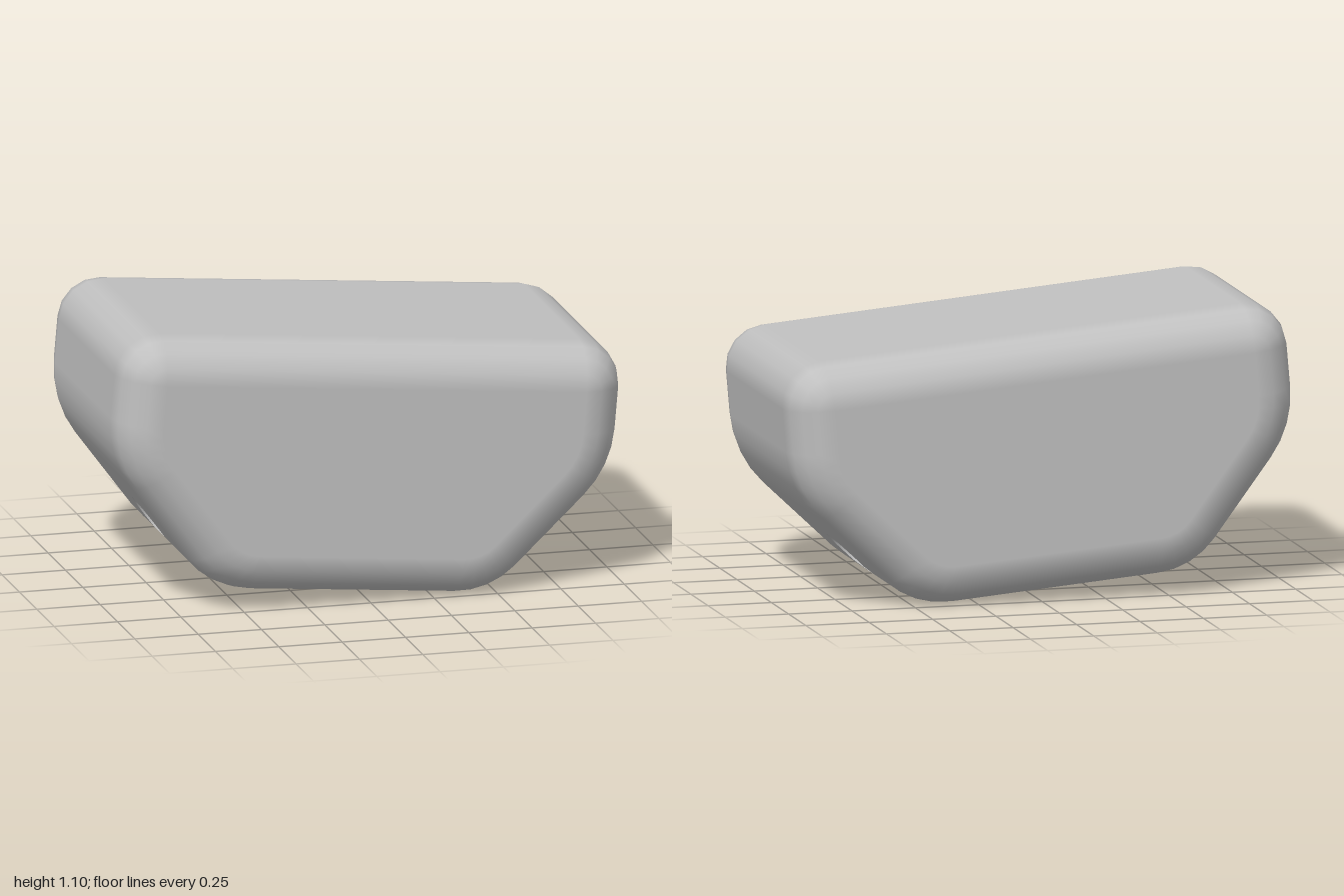
import * as THREE from 'three';

const ROUND = 0.165;          // edge rounding
const FLAT_Z = 0.4;           // half depth of the straight middle band
const HOLE = { y: 0.183, r: 0.0885 };
const STEPS = 4;              // segments per rounded corner
const FIRST = 2, LAST = 5;    // profile points that bound the hole panel

// Right half of the side profile: three rounded corners, bottom to top
function halfProfile() {
  const corners = [
    [0.405, 0.353, 0.32, -90, -41.5],
    [0.586, 0.694, 0.41, -41.5, 0],
    [0.831, 0.863, 0.165, 0, 90],
  ];
  const pts = [];
  for (const [cx, cy, r, a0, a1] of corners) {
    for (let i = 0; i <= STEPS; i++) {
      const a = THREE.MathUtils.degToRad(a0 + (a1 - a0) * i / STEPS);
      const nx = Math.cos(a), ny = Math.sin(a);
      pts.push({ x: cx + r * nx, y: cy + r * ny, nx, ny });
    }
  }
  return pts;
}

// Collects vertices with their own normals and faces
class Builder {
  pos = []; nor = []; idx = [];
  vert(p, n) {
    this.pos.push(...p);
    this.nor.push(...n);
    return this.pos.length / 3 - 1;
  }
  quad(a, b, c, d, flip = false) {
    this.idx.push(...(flip ? [a, c, b, a, d, c] : [a, b, c, a, c, d]));
  }
  geometry() {
    const g = new THREE.BufferGeometry();
    g.setAttribute('position', new THREE.Float32BufferAttribute(this.pos, 3));
    g.setAttribute('normal', new THREE.Float32BufferAttribute(this.nor, 3));
    g.setIndex(this.idx);
    g.normalizeNormals();
    return g;
  }
}

// Point and normal on the lower slope at height y
function slopeAt(half, y) {
  let i = FIRST;
  while (i < LAST - 1 && y > half[i + 1].y) i++;
  const a = half[i], b = half[i + 1];
  const t = (y - a.y) / (b.y - a.y);
  const mix = (k) => a[k] + (b[k] - a[k]) * t;
  return { x: mix('x'), nx: mix('nx'), ny: mix('ny') };
}

// Closed outline of the hole panel as [y, z], turning from +y towards +z
function panelOutline(half) {
  const y0 = half[FIRST].y, y1 = half[LAST].y, n = 24;
  const ys = [];
  for (let i = FIRST; i < LAST; i++) {
    for (let k = 0; k < 4; k++) ys.push(half[i].y + (half[i + 1].y - half[i].y) * k / 4);
  }
  const out = [];
  for (const y of ys) out.push([y, -FLAT_Z]);
  for (let i = 0; i < n; i++) out.push([y1, -FLAT_Z + 2 * FLAT_Z * i / n]);
  for (const y of ys) out.push([y0 + y1 - y, FLAT_Z]);
  for (let i = 0; i < n; i++) out.push([y0, FLAT_Z - 2 * FLAT_Z * i / n]);
  // use the true profile heights on the descending edge
  const start = ys.length + n;
  [y1, ...ys.slice(1).reverse()].forEach((y, i) => { out[start + i][0] = y; });
  return out;
}

function bodyGeometry(half) {
  const b = new Builder();
  const mirrored = half.map((p) => ({ ...p, x: -p.x, nx: -p.nx })).reverse();
  const ring = [...half, ...mirrored];
  const count = ring.length;

  // Rounded shell: front-to-back levels, each an inset copy of the profile
  const levels = [];
  for (let i = -STEPS; i <= -0; i++) levels.push([-1, -i / STEPS * Math.PI / 2]);
  for (let i = 0; i <= STEPS; i++) levels.push([1, i / STEPS * Math.PI / 2]);
  const rows = levels.map(([side, t]) => ring.map((p) => {
    const inset = ROUND * (1 - Math.cos(t));
    return b.vert(
      [p.x - p.nx * inset, p.y - p.ny * inset, side * (FLAT_Z + ROUND * Math.sin(t))],
      [p.nx * Math.cos(t), p.ny * Math.cos(t), side * Math.sin(t)]);
  }));
  for (let l = 0; l < rows.length - 1; l++) {
    for (let i = 0; i < count; i++) {
      const k = Math.min(i, count - 2 - i);
      if (l === STEPS && k >= FIRST && k < LAST) continue;
      const j = (i + 1) % count;
      b.quad(rows[l][i], rows[l][j], rows[l + 1][j], rows[l + 1][i]);
    }
  }

  // Flat front and back faces
  for (const side of [-1, 1]) {
    const row = rows[side < 0 ? 0 : rows.length - 1];
    const mid = b.vert([0, 0.55, side * (FLAT_Z + ROUND)], [0, 0, side]);
    for (let i = 0; i < count; i++) {
      const j = (i + 1) % count;
      b.idx.push(mid, ...(side > 0 ? [row[i], row[j]] : [row[j], row[i]]));
    }
  }

  // Sloped end panels, each spread from the round hole to its outline
  const outline = panelOutline(half), rings = 8;
  for (const side of [1, -1]) {
    const grid = [];
    for (let k = 0; k <= rings; k++) {
      grid.push(outline.map(([oy, oz]) => {
        const a = Math.atan2(oz, oy - HOLE.y), t = k / rings;
        const y = THREE.MathUtils.lerp(HOLE.y + HOLE.r * Math.cos(a), oy, t);
        const z = THREE.MathUtils.lerp(HOLE.r * Math.sin(a), oz, t);
        const s = slopeAt(half, y);
        return b.vert([side * s.x, y, z], [side * s.nx, s.ny, 0]);
      }));
    }
    for (let k = 0; k < rings; k++) {
      for (let i = 0; i < outline.length; i++) {
        const j = (i + 1) % outline.length;
        b.quad(grid[k][i], grid[k + 1][i], grid[k + 1][j], grid[k][j], side < 0);
      }
    }
  }
  return b.geometry();
}

// Inner wall of the bore, ending on the sloped panels
function boreGeometry(half) {
  const b = new Builder(), n = 48, rows = [];
  for (let i = 0; i <= n; i++) {
    const a = i / n * Math.PI * 2, c = Math.cos(a), s = Math.sin(a);
    const y = HOLE.y + HOLE.r * c, x = slopeAt(half, y).x;
    rows.push([-x, x].map((px) => b.vert([px, y, HOLE.r * s], [0, -c, -s])));
  }
  for (let i = 0; i < n; i++) {
    b.quad(rows[i][0], rows[i][1], rows[i + 1][1], rows[i + 1][0]);
  }
  return b.geometry();
}

export function createModel() {
  const grey = new THREE.MeshStandardMaterial({ color: 0xc0c0c0 });
  grey.name = 'light grey';
  const half = halfProfile();

  const body = new THREE.Mesh(bodyGeometry(half), grey);
  body.name = 'roundedBody';
  const bore = new THREE.Mesh(boreGeometry(half), grey);
  bore.name = 'throughHole';

  // The whole block leans down towards its left end
  const block = new THREE.Group();
  block.name = 'tiltedBlock';
  block.add(body, bore);
  const tilt = THREE.MathUtils.degToRad(-5);
  block.rotation.z = tilt;
  block.position.set(-0.069 * Math.cos(tilt), -0.069 * Math.sin(tilt), 0);

  const model = new THREE.Group();
  model.name = 'block';
  model.add(block);
  return model;
}
